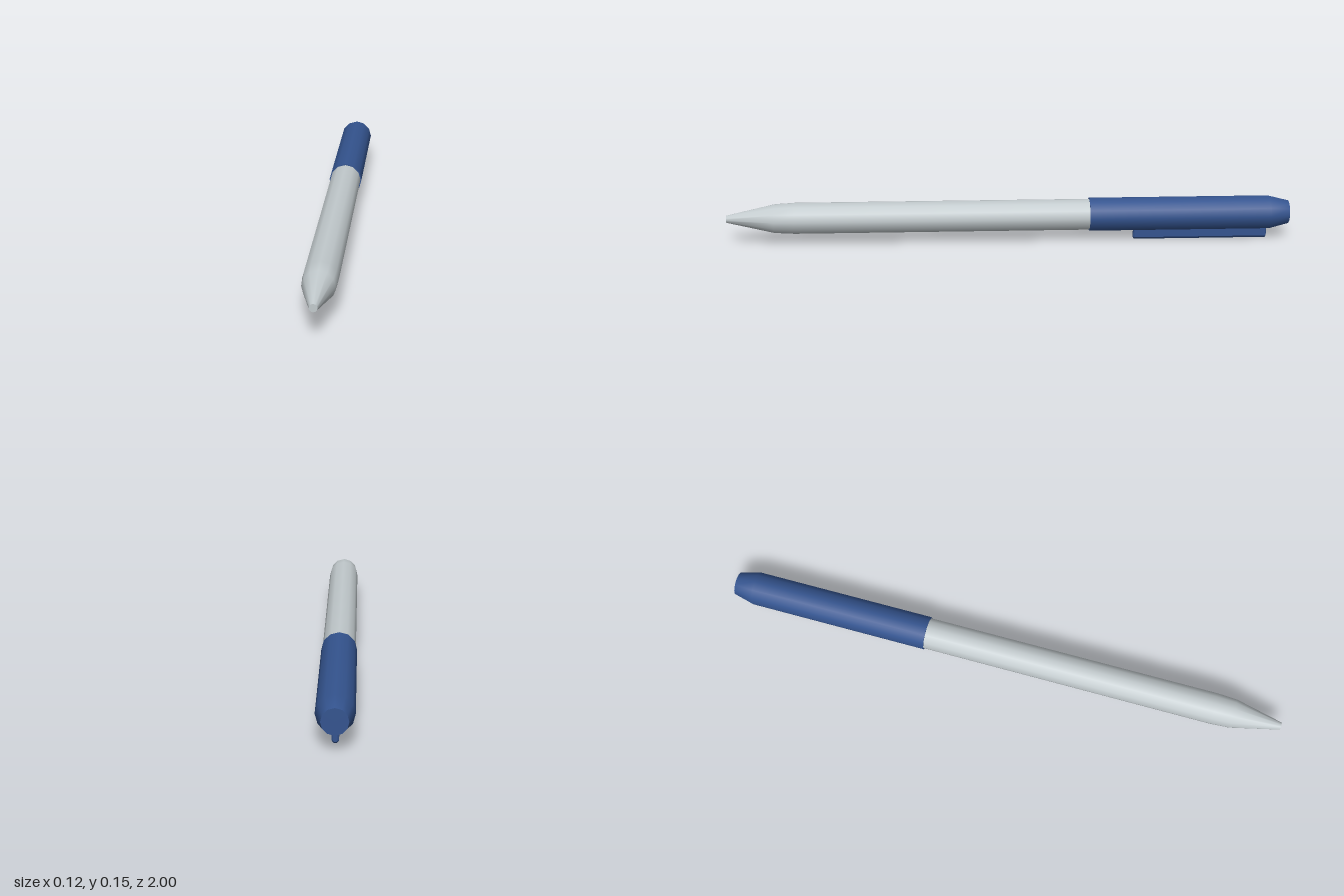
import * as THREE from 'three';

const AXIS_Y = 0.094;
const SIDES = 12;

// Turned part along z; profile is [radius, z] from back to front.
// A repeated point keeps that edge sharp.
function turned(name, profile, material) {
  const points = profile.map(([r, z]) => new THREE.Vector2(r, z));
  const geometry = new THREE.LatheGeometry(points, SIDES);
  geometry.rotateX(Math.PI / 2);
  const mesh = new THREE.Mesh(geometry, material);
  mesh.name = name;
  mesh.position.y = AXIS_Y;
  return mesh;
}

export function createModel() {
  const blue = new THREE.MeshStandardMaterial({ name: 'blue plastic', color: 0x34548f });
  const grey = new THREE.MeshStandardMaterial({ name: 'pale grey plastic', color: 0xc2cacd });

  const pen = new THREE.Group();
  pen.name = 'pen';

  // Barrel narrowing to a blunt writing tip
  pen.add(turned('barrel', [
    [0.056, -0.32], [0.056, 0.76], [0.052, 0.83],
    [0.013, 1], [0.013, 1], [0, 1],
  ], grey));

  // Cap with a tapered, flat end and a step down to the barrel
  pen.add(turned('cap', [
    [0, -1], [0.042, -1], [0.042, -1], [0.06, -0.93],
    [0.06, -0.285], [0.06, -0.285], [0.054, -0.285],
  ], blue));

  // Pocket clip under the cap: narrow bar with a chamfered lower edge
  const half = 0.011, cut = 0.005, top = 0.045;
  const section = new THREE.Shape([
    [-cut, 0], [cut, 0], [half, 0.008], [half, top], [-half, top], [-half, 0.008],
  ].map(([x, y]) => new THREE.Vector2(x, y)));
  const bevel = 0.004;
  const clipGeometry = new THREE.ExtrudeGeometry(section, {
    depth: 0.48 - 2 * bevel,
    bevelEnabled: true,
    bevelThickness: bevel,
    bevelSize: bevel,
    bevelOffset: -bevel,
    bevelSegments: 1,
  });
  const clip = new THREE.Mesh(clipGeometry, blue);
  clip.name = 'clip';
  clip.position.z = -0.925 + bevel;
  pen.add(clip);

  return pen;
}
